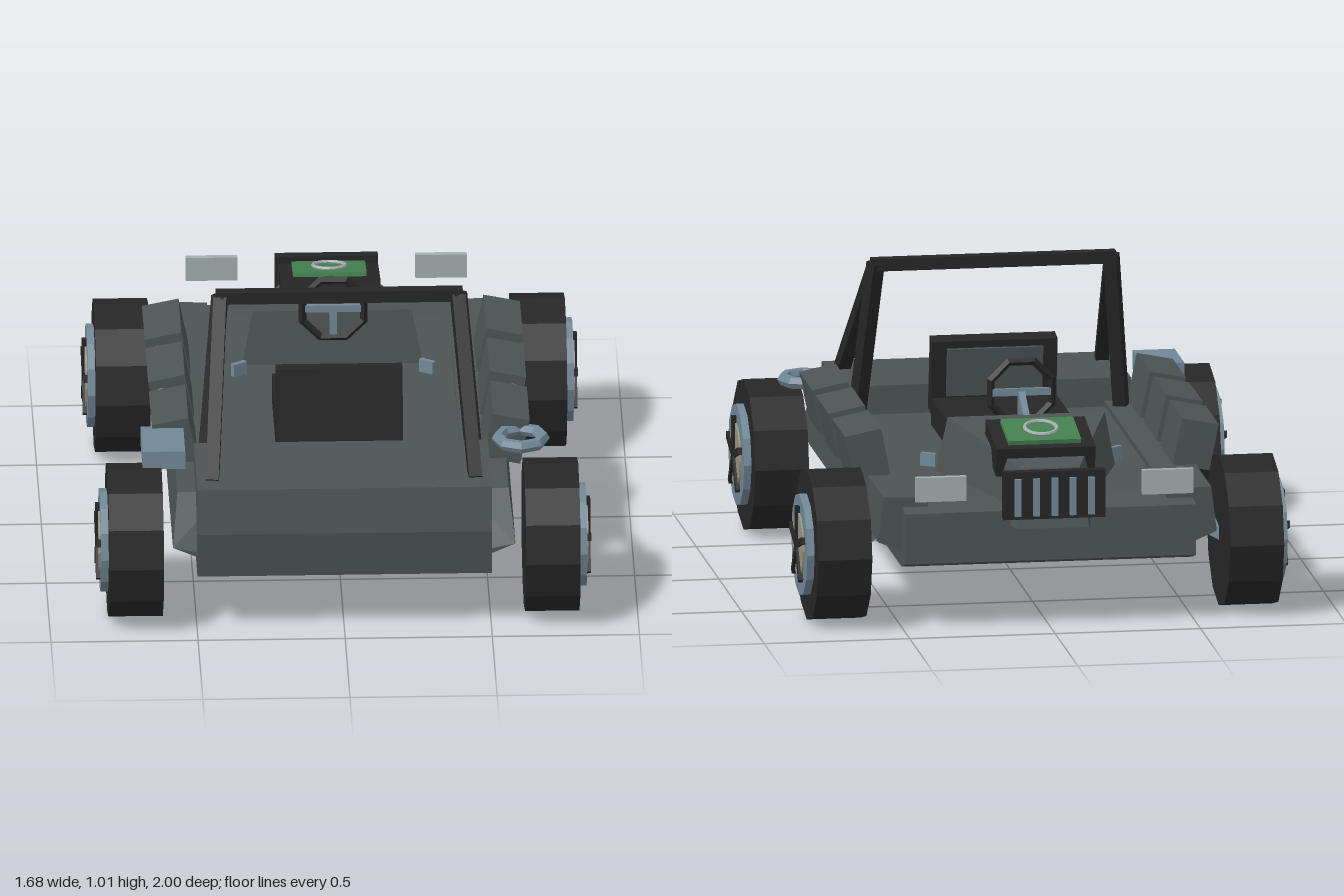
import * as THREE from 'three';
import { ConvexGeometry } from 'three/addons/geometries/ConvexGeometry.js';

const mat = (name, color) => {
  const m = new THREE.MeshStandardMaterial({ color, flatShading: true });
  m.name = name;
  return m;
};

export function createModel() {
  const model = new THREE.Group();
  const gray = mat('body gray', 0x4d5454);
  const black = mat('black', 0x262626);
  const blue = mat('steel blue', 0x718897);
  const tan = mat('hub tan', 0x9a957e);
  const green = mat('panel green', 0x43804f);
  const pale = mat('lamp pale gray', 0xa3aeae);

  const add = (name, geo, material, pos = [0, 0, 0], rot = [0, 0, 0], parent = model) => {
    const mesh = new THREE.Mesh(geo, material);
    mesh.name = name;
    mesh.position.set(...pos);
    mesh.rotation.set(...rot);
    parent.add(mesh);
    return mesh;
  };
  const box = (name, size, material, pos, rot, parent) =>
    add(name, new THREE.BoxGeometry(...size), material, pos, rot, parent);
  const hull = (name, points, material) =>
    add(name, new ConvexGeometry(points.map((p) => new THREE.Vector3(...p))), material);
  // square or round bar between two points
  const bar = (name, a, b, thick, material, round = false) => {
    const from = new THREE.Vector3(...a), to = new THREE.Vector3(...b);
    const len = from.distanceTo(to);
    const geo = round
      ? new THREE.CylinderGeometry(thick / 2, thick / 2, len, 8).rotateX(Math.PI / 2)
      : new THREE.BoxGeometry(thick, thick, len);
    const mesh = add(name, geo, material);
    mesh.position.copy(from).add(to).multiplyScalar(0.5);
    mesh.lookAt(to);
  };

  // main tub: side profile (z, y) extruded across the width
  const profile = new THREE.Shape([
    [0.94, 0.53], [0.54, 0.53], [0.54, 0.43], [-0.75, 0.43], [-0.9, 0.41],
    [-0.9, 0.235], [-0.82, 0.21], [0.94, 0.21], [0.965, 0.375],
  ].map(([z, y]) => new THREE.Vector2(-z, y)));
  const tub = new THREE.ExtrudeGeometry(profile, { depth: 1, bevelEnabled: false });
  tub.translate(0, 0, -0.5).rotateY(Math.PI / 2);
  add('bodyTub', tub, gray);

  // hood, wide at the dashboard and narrow at the nose
  hull('hood', [-1, 1].flatMap((s) => [
    [s * 0.31, 0.42, -0.34], [s * 0.27, 0.62, -0.36], [s * 0.225, 0.605, -0.5],
    [s * 0.1, 0.555, -0.9], [s * 0.125, 0.355, -0.945], [s * 0.125, 0.355, -0.6],
  ]), gray);

  // instrument box on the hood
  const pod = new THREE.Group();
  pod.name = 'hoodPod';
  pod.position.set(0, 0.578, -0.67);
  pod.rotation.x = -0.2;
  model.add(pod);
  box('podCase', [0.34, 0.1, 0.25], black, [0, 0, 0], [0, 0, 0], pod);
  box('podPanel', [0.25, 0.02, 0.185], green, [0, 0.055, 0], [0, 0, 0], pod);
  add('podRing', new THREE.TorusGeometry(0.055, 0.007, 6, 16), pale,
    [0, 0.07, 0], [Math.PI / 2, 0, 0], pod);

  // grille
  box('grille', [0.35, 0.165, 0.035], black, [0, 0.48, -0.968]);
  for (let i = -2; i <= 2; i++)
    box('grilleBar', [0.022, 0.13, 0.02], blue, [i * 0.063, 0.475, -0.99]);

  // seat
  box('seatCushion', [0.43, 0.1, 0.42], black, [0, 0.472, 0.15]);
  box('seatBack', [0.43, 0.26, 0.065], black, [0, 0.6, 0.376], [-0.15, 0, 0]);
  box('seatBackPad', [0.33, 0.17, 0.016], gray, [0, 0.615, 0.338], [-0.15, 0, 0]);

  // steering wheel and column
  add('steeringWheel', new THREE.TorusGeometry(0.113, 0.014, 4, 8).rotateZ(Math.PI / 8),
    black, [0, 0.675, -0.253]);
  box('steeringSpoke', [0.2, 0.025, 0.014], blue, [0, 0.675, -0.256]);
  box('steeringSpoke', [0.025, 0.1, 0.014], blue, [0, 0.625, -0.256]);
  bar('steeringColumn', [0, 0.6, -0.38], [0, 0.67, -0.255], 0.022, blue);

  // parts that repeat on both sides
  for (const s of [-1, 1]) {
    // side sill with a sloped rear end
    hull('sideSill', [[-0.83, -0.83], [0.78, 0.9]].flatMap(([zTop, zLow]) => [
      [s * 0.41, 0.45, zTop], [s * 0.563, 0.455, zTop],
      [s * 0.582, 0.3, zLow], [s * 0.5, 0.265, zLow], [s * 0.41, 0.265, zLow],
    ]), gray);

    // tilted side boxes joined by a rail
    for (const z of [-0.343, 0.017, 0.382])
      box('sideBox', [0.127, 0.163, 0.287], gray, [s * 0.564, 0.524, z], [0, 0, -s * 0.2]);
    bar('sideRail', [s * 0.597, 0.55, -0.25], [s * 0.597, 0.55, 0.3], 0.04, blue, true);

    box('headlight', [0.175, 0.085, 0.022], pale, [s * 0.39, 0.513, -0.978]);
    box('floorLever', [0.055, 0.05, 0.018], blue, [s * 0.32, 0.45, -0.262], [0, s * -0.6, 0]);
    bar('frontStrut', [s * 0.64, 0.25, -0.66], [s * 0.48, 0.31, -0.44], 0.045, blue);

    // roll cage legs and braces
    bar('rollBarLeg', [s * 0.405, 1.0, 0.362], [s * 0.455, 0.44, 0.465], 0.045, black);
    bar('rollBarBrace', [s * 0.405, 0.985, 0.37], [s * 0.447, 0.52, 0.85], 0.045, black);

    // wheels
    for (const z of [-0.656, 0.737]) {
      const wheel = new THREE.Group();
      wheel.name = 'wheel';
      wheel.position.set(s * 0.708, 0.262, z);
      wheel.rotation.y = s * Math.PI / 2;
      model.add(wheel);
      const disc = (name, r, depth, face, m) => add(name,
        new THREE.CylinderGeometry(r, r, depth, 12).rotateX(Math.PI / 2), m,
        [0, 0, face - depth / 2], [0, 0, 0], wheel);
      disc('tyre', 0.262, 0.185, 0.0925, black);
      disc('rim', 0.177, 0.06, 0.118, blue);
      disc('hubDisc', 0.115, 0.02, 0.124, tan);
      for (let i = 0; i < 5; i++) {
        const a = i * Math.PI * 2 / 5;
        box('wheelSpoke', [0.024, 0.135, 0.022], black,
          [-Math.sin(a) * 0.068, Math.cos(a) * 0.068, 0.122], [0, 0, a], wheel);
      }
    }
  }
  box('rollBarTop', [0.84, 0.042, 0.042], black, [0, 0.994, 0.363]);

  // gear carried behind the side boxes
  box('gearBox', [0.145, 0.065, 0.215], blue, [-0.607, 0.548, 0.617]);
  add('ropeRing', new THREE.TorusGeometry(0.077, 0.022, 6, 8).rotateX(Math.PI / 2),
    blue, [0.61, 0.553, 0.585]);

  return model;
}
